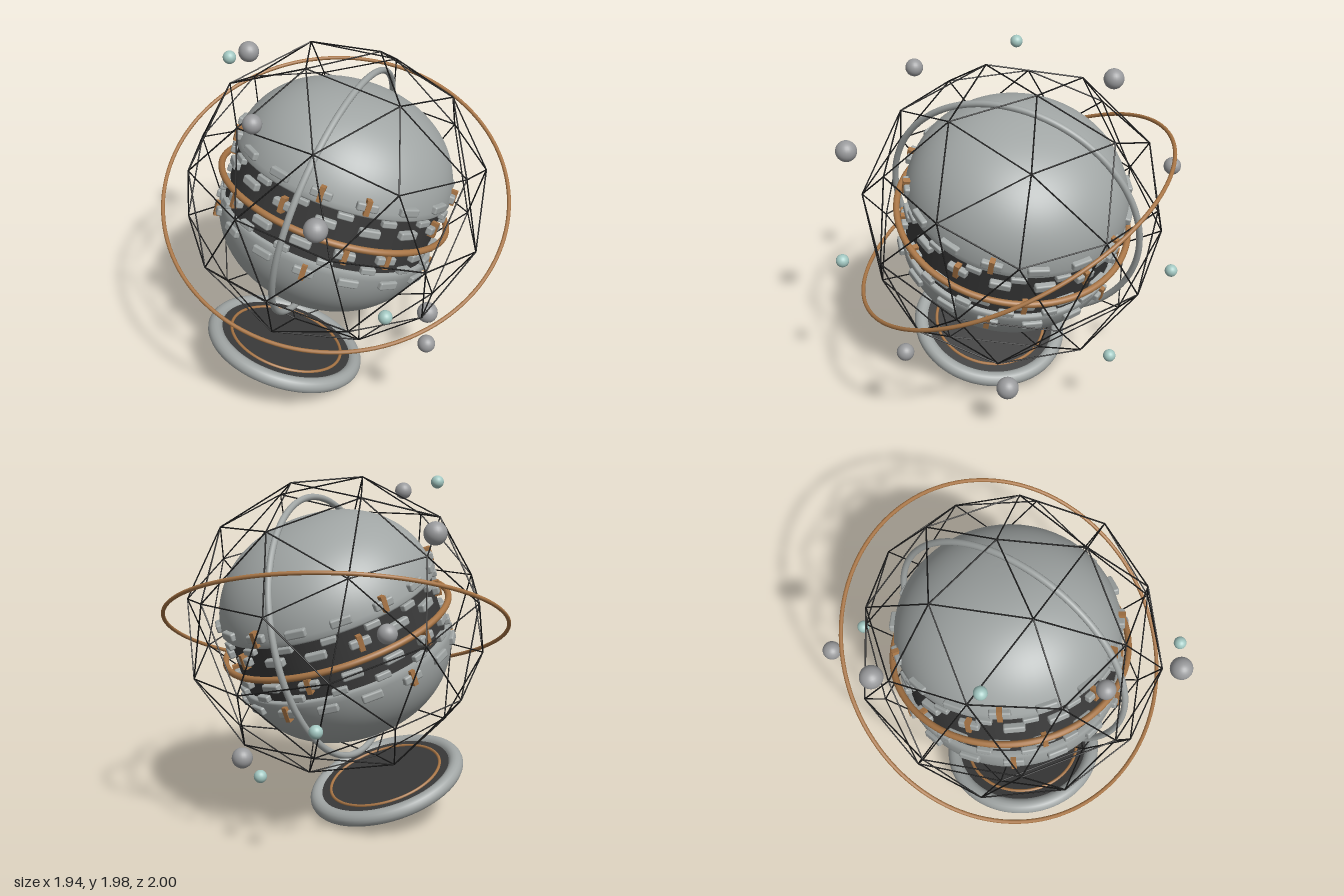
import * as THREE from 'three';
import { RoundedBoxGeometry } from 'three/addons/geometries/RoundedBoxGeometry.js';

const V = (x, y, z) => new THREE.Vector3(x, y, z);
const mat = (name, color) => {
  const m = new THREE.MeshStandardMaterial({ color });
  m.name = name;
  return m;
};

export function createModel() {
  const shell = mat('shell grey', 0xa0a5a4);
  const metal = mat('ball grey', 0x9a9b9d);
  const dark = mat('dark core', 0x3a3a3a);
  const bronze = mat('bronze', 0xa87545);
  const black = mat('wire black', 0x1a1a1a);
  const teal = mat('pale teal', 0xa3c8c2);

  const model = new THREE.Group();
  const centre = V(0, 1.157, 0);
  const add = (parent, name, geo, material, pos) => {
    const m = new THREE.Mesh(geo, material);
    m.name = name;
    if (pos) m.position.copy(pos);
    parent.add(m);
    return m;
  };

  // Ring around the centre, lying square to the given axis
  const hoop = (name, radius, tube, axis, material) => {
    const m = add(model, name, new THREE.TorusGeometry(radius, tube, 12, 128), material, centre);
    m.quaternion.setFromUnitVectors(V(0, 0, 1), axis.normalize());
  };
  hoop('outerOrbitRing', 0.963, 0.011, V(-0.1, 1, 0.49), bronze);
  hoop('uprightRing', 0.73, 0.018, V(-0.824, 0.222, -0.523), shell);

  // Tilted group holding the split body and the base
  const tilted = new THREE.Group();
  tilted.name = 'tiltedBody';
  tilted.position.copy(centre);
  tilted.quaternion.setFromUnitVectors(V(0, 1, 0), V(0.33, 1, -0.1).normalize());
  model.add(tilted);

  // Two domed shells with a gap between them
  const profile = [new THREE.Vector2(0.56, 0.16), new THREE.Vector2(0.608, 0.16)];
  for (let i = 0; i <= 28; i++) {
    const a = 0.09 + (Math.PI / 2 - 0.09) * i / 28;
    profile.push(new THREE.Vector2(
      0.618 * Math.pow(Math.max(0, Math.cos(a)), 0.88),
      0.12 + 0.51 * Math.pow(Math.sin(a), 0.96)));
  }
  const dome = new THREE.LatheGeometry(profile, 72);
  add(tilted, 'upperShell', dome, shell);
  add(tilted, 'lowerShell', dome, shell).rotation.x = Math.PI;

  // Dark core and bronze equator
  add(tilted, 'core', new THREE.CylinderGeometry(0.588, 0.588, 0.34, 72), dark);
  add(tilted, 'equatorRing', new THREE.TorusGeometry(0.652, 0.018, 12, 128), bronze).rotation.x = Math.PI / 2;

  // Staggered rows of plates, some with a bronze clip across them
  const plate = new RoundedBoxGeometry(0.115, 0.045, 0.04, 2, 0.01);
  const slim = new RoundedBoxGeometry(0.085, 0.035, 0.035, 2, 0.008);
  const clip = new THREE.BoxGeometry(0.028, 0.085, 0.048);
  const rows = [[0.22, 0.612, plate], [0.14, 0.606, slim], [0.075, 0.602, plate],
    [-0.075, 0.602, plate], [-0.14, 0.606, slim], [-0.22, 0.612, plate]];
  const count = 16;
  rows.forEach(([h, r, geo], row) => {
    for (let i = 0; i < count; i++) {
      const a = (i + (row % 2) * 0.5 + row * 0.13) / count * Math.PI * 2;
      const pos = V(Math.sin(a) * r, h, Math.cos(a) * r);
      add(tilted, 'bandPlate', geo, shell, pos).rotation.y = a;
      if (geo === plate && (i + row * 2) % 3 === 0) {
        add(tilted, 'bandClip', clip, bronze, pos).rotation.y = a;
      }
    }
  });

  // Round base below the body
  const base = new THREE.Group();
  base.name = 'base';
  base.position.y = -1.01;
  tilted.add(base);
  add(base, 'baseDisc', new THREE.CylinderGeometry(0.425, 0.4, 0.085, 72), dark, V(0, -0.018, 0));
  add(base, 'baseRim', new THREE.TorusGeometry(0.426, 0.044, 16, 96), shell).rotation.x = Math.PI / 2;
  add(base, 'baseInlay', new THREE.TorusGeometry(0.335, 0.009, 8, 96), bronze, V(0, 0.026, 0)).rotation.x = Math.PI / 2;

  // Geodesic cage: one thin rod for each edge of a subdivided icosahedron
  const frame = (p, q) => {
    const x = p.clone().normalize();
    const z = x.clone().cross(q).normalize();
    return new THREE.Matrix4().makeBasis(x, z.clone().cross(x), z);
  };
  const t = (1 + Math.sqrt(5)) / 2;
  const turn = frame(V(0.974, 0.178, 0.1425), V(0.306, 0.951, -0.087))
    .multiply(frame(V(-1, t, 0), V(1, t, 0)).transpose());
  const ico = new THREE.IcosahedronGeometry(0.845, 1).applyMatrix4(turn);
  const ends = new THREE.EdgesGeometry(ico, 1).attributes.position;
  const cage = new THREE.Group();
  cage.name = 'cage';
  cage.position.copy(centre);
  model.add(cage);
  const rod = new THREE.CylinderGeometry(0.004, 0.004, 1, 6);
  for (let i = 0; i < ends.count; i += 2) {
    const p = V().fromBufferAttribute(ends, i);
    const q = V().fromBufferAttribute(ends, i + 1);
    const m = add(cage, 'cageRod', rod, black, p.clone().add(q).multiplyScalar(0.5));
    const d = q.sub(p);
    m.scale.y = d.length();
    m.quaternion.setFromUnitVectors(V(0, 1, 0), d.normalize());
  }

  // Floating balls: x, y, z, radius
  const balls = (name, material, list) => list.forEach(([x, y, z, r]) =>
    add(model, name, new THREE.SphereGeometry(r, 24, 16), material, V(x, y, z)));
  balls('greyBall', metal, [
    [-0.47, 1.87, 0.475, 0.049], [-0.41, 1.745, -0.66, 0.06], [-0.22, 1.51, 0.89, 0.06],
    [0.4, 0.575, 0.67, 0.048], [0.535, 0.355, 0.13, 0.062], [-0.12, 1.305, -0.95, 0.05]]);
  balls('tealBall', teal, [
    [-0.54, 1.96, -0.115, 0.035], [0.11, 1.015, 0.963, 0.036],
    [0.465, 0.448, -0.463, 0.035], [0.215, 0.81, -0.875, 0.036]]);

  return model;
}
